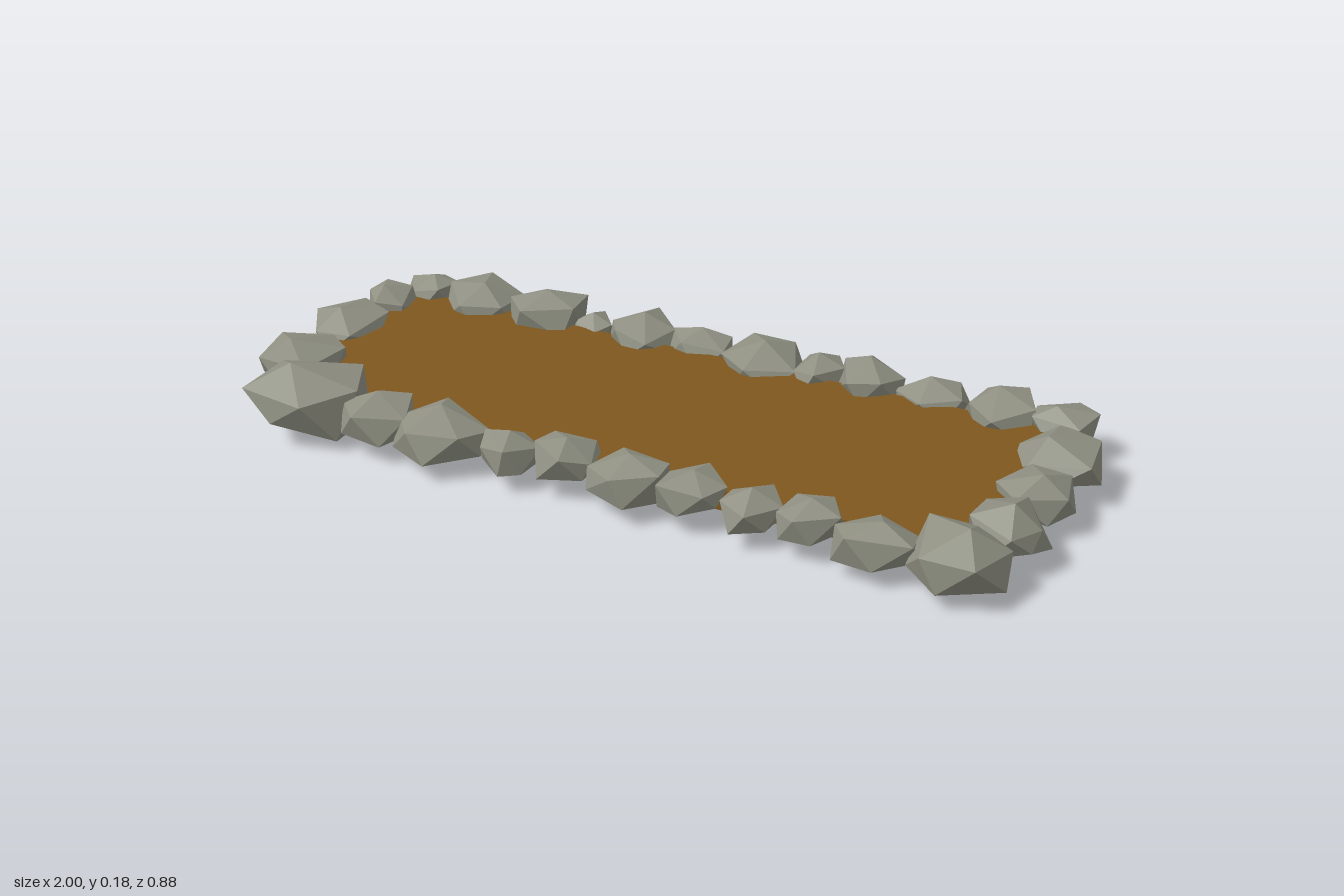
import * as THREE from 'three';
import { ConvexGeometry } from 'three/addons/geometries/ConvexGeometry.js';

// Small seeded generator
function seeded(seed) {
  let s = seed;
  return () => {
    s = (s * 16807) % 2147483647;
    return s / 2147483647;
  };
}

// Jittered, squashed icosahedron, fitted to the half sizes and height range
function rockGeometry(rx, rz, y0, y1, seed) {
  const rand = seeded(seed * 7919 + 13);
  for (let i = 0; i < 5; i++) rand();
  const points = [];
  const top = (rand() - 0.5) * 0.5;
  const spin = rand() * Math.PI * 2;
  points.push(new THREE.Vector3(top, 1, (rand() - 0.5) * 0.5));
  // two staggered rings of five, then a broad base
  for (let ring = 0; ring < 2; ring++) {
    for (let i = 0; i < 5; i++) {
      const a = spin + (i + ring * 0.5 + (rand() - 0.5) * 0.4) * Math.PI * 0.4;
      const r = 0.88 + rand() * 0.22;
      const y = (ring ? -0.5 : 0.45) + (rand() - 0.5) * 0.5;
      points.push(new THREE.Vector3(Math.cos(a) * r, y, Math.sin(a) * r));
    }
  }
  points.push(new THREE.Vector3((rand() - 0.5) * 0.5, -0.95, (rand() - 0.5) * 0.5));
  const box = new THREE.Box3().setFromPoints(points);
  const mid = box.getCenter(new THREE.Vector3());
  const size = box.getSize(new THREE.Vector3());
  const scale = new THREE.Vector3(2 * rx / size.x, (y1 - y0) / size.y, 2 * rz / size.z);
  points.forEach(p => p.sub(mid).multiply(scale));
  return new ConvexGeometry(points);
}

export function createModel() {
  const model = new THREE.Group();
  const stone = new THREE.MeshStandardMaterial({ color: 0x8f9082 });
  const earth = new THREE.MeshStandardMaterial({ color: 0x80571f });
  stone.name = 'grey stone';
  earth.name = 'brown earth';

  // Soil slab
  const soil = new THREE.Mesh(new THREE.BoxGeometry(1.74, 0.05, 0.6), earth);
  soil.name = 'soil';
  soil.position.set(-0.01, 0.06, -0.02);
  model.add(soil);

  // Border stones: x, z, half width, half depth, bottom, top
  const borders = {
    backStones: [
      [-0.84, -0.355, 0.068, 0.075, 0.03, 0.13],
      [-0.68, -0.35, 0.1, 0.1, 0.02, 0.14],
      [-0.5, -0.345, 0.102, 0.097, 0.015, 0.157],
      [-0.365, -0.355, 0.055, 0.05, 0.035, 0.115],
      [-0.22, -0.35, 0.09, 0.09, 0.02, 0.145],
      [-0.065, -0.36, 0.085, 0.07, 0.03, 0.13],
      [0.11, -0.345, 0.095, 0.097, 0.02, 0.135],
      [0.25, -0.35, 0.062, 0.075, 0.03, 0.13],
      [0.38, -0.355, 0.082, 0.09, 0.025, 0.145],
      [0.535, -0.355, 0.09, 0.07, 0.03, 0.125],
      [0.705, -0.345, 0.09, 0.097, 0.02, 0.14],
      [0.86, -0.355, 0.073, 0.075, 0.025, 0.135],
    ],
    leftStones: [
      [0.9, -0.205, 0.1, 0.11, 0.025, 0.138],
      [0.9, -0.02, 0.085, 0.088, 0.03, 0.137],
      [0.893, 0.15, 0.092, 0.1, 0.02, 0.153],
    ],
    frontStones: [
      [0.85, 0.305, 0.105, 0.1, 0.02, 0.158],
      [0.665, 0.31, 0.095, 0.08, 0.015, 0.13],
      [0.505, 0.3, 0.077, 0.07, 0.035, 0.13],
      [0.37, 0.31, 0.074, 0.075, 0.035, 0.125],
      [0.23, 0.3, 0.077, 0.072, 0.035, 0.13],
      [0.075, 0.305, 0.092, 0.087, 0.015, 0.135],
      [-0.085, 0.3, 0.074, 0.073, 0.035, 0.13],
      [-0.22, 0.315, 0.07, 0.07, 0.035, 0.125],
      [-0.4, 0.315, 0.113, 0.1, 0.025, 0.137],
      [-0.565, 0.315, 0.083, 0.087, 0.03, 0.137],
      [-0.76, 0.308, 0.14, 0.125, 0, 0.183],
    ],
    rightStones: [
      [-0.9, 0.14, 0.1, 0.115, 0.025, 0.145],
      [-0.907, -0.08, 0.085, 0.105, 0.03, 0.135],
      [-0.89, -0.24, 0.064, 0.072, 0.035, 0.13],
    ],
  };
  let seed = 1;
  for (const [name, stones] of Object.entries(borders)) {
    const row = new THREE.Group();
    row.name = name;
    for (const [x, z, rx, rz, y0, y1] of stones) {
      const rock = new THREE.Mesh(rockGeometry(rx, rz, y0, y1, seed++), stone);
      rock.name = 'stone';
      rock.position.set(x, (y0 + y1) / 2, z);
      row.add(rock);
    }
    model.add(row);
  }
  return model;
}
